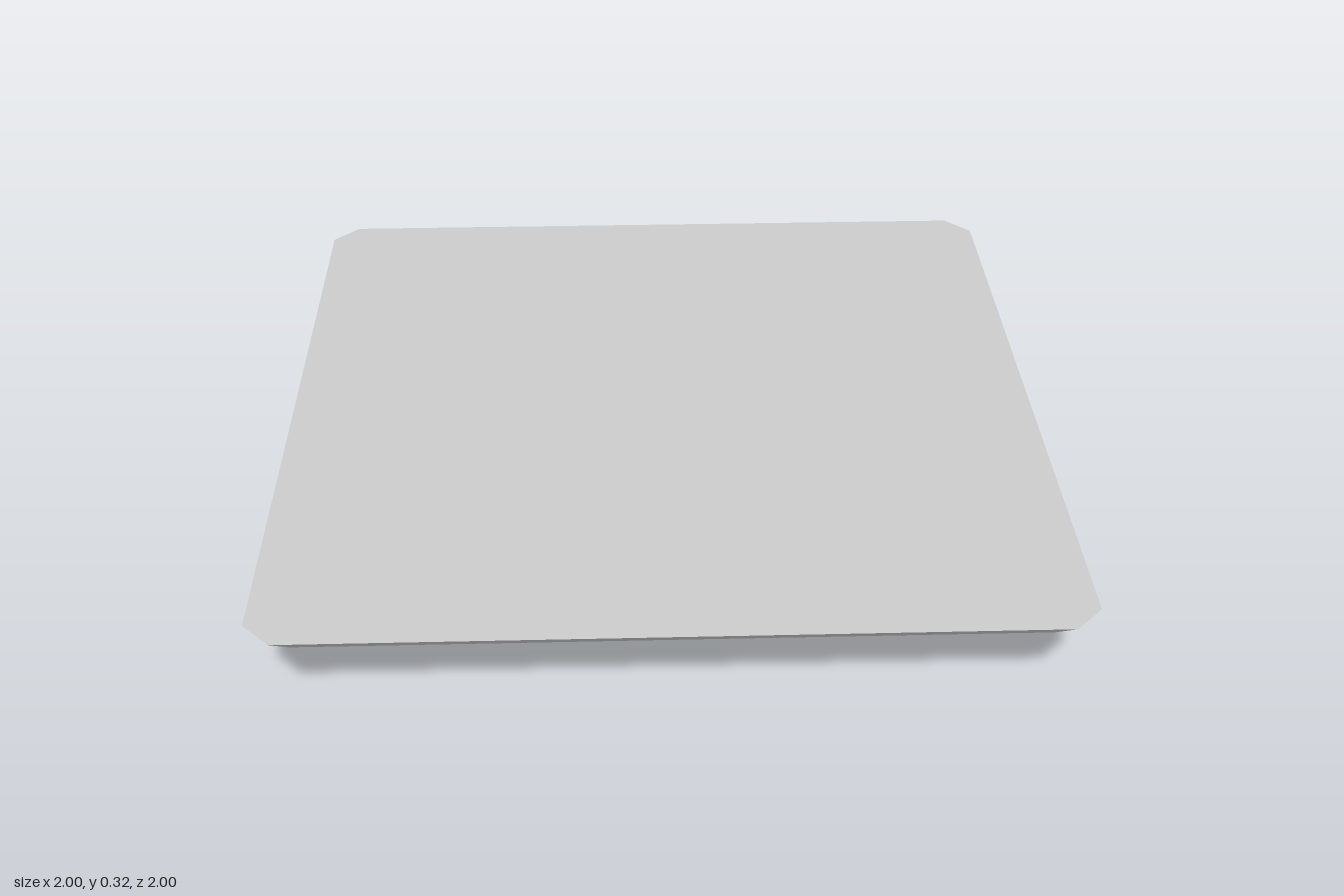
import * as THREE from 'three';
import { toCreasedNormals } from 'three/addons/utils/BufferGeometryUtils.js';
import { ConvexGeometry } from 'three/addons/geometries/ConvexGeometry.js';

const TOP = 0.32, UNDER = 0.23;
const NOTCH = 0.088; // half width of the vertical recess

// Half thickness of a foot wall: central boss, thin waist, flared wings
const wall = (t) => 0.082 + 0.03 * Math.cos((2 * Math.PI * t) / 0.41);

// Wall with the vertical recess cut in; its ceiling slopes up to the opening
function halfThickness(t, y) {
  if (Math.abs(t) >= NOTCH) return wall(t);
  const close = THREE.MathUtils.clamp((0.195 - y) / 0.025, 0, 1);
  const cut = wall(NOTCH) - 0.05 * Math.sqrt(1 - (t / NOTCH) ** 2);
  return THREE.MathUtils.lerp(wall(t), Math.min(wall(t), cut), close);
}

// Plate: chamfered top outline tapering to a smaller square underneath
function plateGeometry() {
  const pts = [];
  for (const sx of [-1, 1]) for (const sz of [-1, 1]) {
    pts.push(new THREE.Vector3(sx, TOP, sz * 0.93), new THREE.Vector3(sx * 0.93, TOP, sz));
    pts.push(new THREE.Vector3(sx * 0.905, UNDER, sz * 0.905));
  }
  return new ConvexGeometry(pts);
}

// Foot: wavy wall with pointed ends, stacked from cross-sections [y, end reach, thickness scale]
function footGeometry() {
  const levels = [[0, 0.195, 0.86], [0.008, 0.222, 0.95], [0.022, 0.241, 1]];
  for (const y of [0.05, 0.08, 0.11, 0.14, 0.17, 0.195, 0.21, UNDER]) {
    levels.push([y, 0.241 + ((y - 0.022) / (UNDER - 0.022)) * 0.261, 1]);
  }
  const inner = 12, outer = 10;
  const pos = [], index = [];
  let n = 0;
  for (const [y, reach, scale] of levels) {
    // Wing corner lies where the wall meets the 45 degree end face
    let T = reach - 0.07;
    for (let i = 0; i < 40; i++) T += 0.5 * (reach - scale * wall(T) - T);
    const ts = [];
    for (let i = 0; i < outer; i++) ts.push(-T + ((T - NOTCH) * i) / outer);
    for (let i = 0; i <= inner; i++) ts.push(-NOTCH * Math.cos((Math.PI * i) / inner));
    for (let i = 1; i <= outer; i++) ts.push(NOTCH + ((T - NOTCH) * i) / outer);
    const ring = [[-reach, 0]];
    for (const t of ts) ring.push([t, scale * halfThickness(t, y)]);
    ring.push([reach, 0]);
    for (const t of ts.reverse()) ring.push([t, -scale * halfThickness(t, y)]);
    n = ring.length;
    for (const [x, z] of ring) pos.push(x, y, z);
  }
  for (let l = 0; l < levels.length - 1; l++) {
    for (let i = 0; i < n; i++) {
      const a = l * n + i, b = l * n + ((i + 1) % n);
      index.push(a, b, b + n, a, b + n, a + n);
    }
  }
  // Underside strip between the two matching faces
  for (let i = 0; i < n / 2; i++) {
    const a = i, b = i + 1, c = (n - i - 1) % n, d = (n - i) % n;
    if (c !== b) index.push(a, c, b);
    if (d !== a) index.push(a, d, c);
  }
  const geo = new THREE.BufferGeometry();
  geo.setAttribute('position', new THREE.Float32BufferAttribute(pos, 3));
  geo.setIndex(index);
  return toCreasedNormals(geo, 0.5);
}

export function createModel() {
  const grey = new THREE.MeshStandardMaterial({ color: 0xcccccc });
  grey.name = 'light grey';
  const model = new THREE.Group();
  model.name = 'footedPlate';

  const plate = new THREE.Mesh(plateGeometry(), grey);
  plate.name = 'plate';
  model.add(plate);

  // Four feet, each set across its corner diagonal
  const footShape = footGeometry();
  for (const sx of [-1, 1]) for (const sz of [-1, 1]) {
    const foot = new THREE.Mesh(footShape, grey);
    foot.name = `${sz > 0 ? 'front' : 'back'}${sx > 0 ? 'Left' : 'Right'}Foot`;
    foot.position.set(sx * 0.475, 0, sz * 0.475);
    foot.rotation.y = (sx * sz * Math.PI) / 4;
    model.add(foot);
  }
  return model;
}
